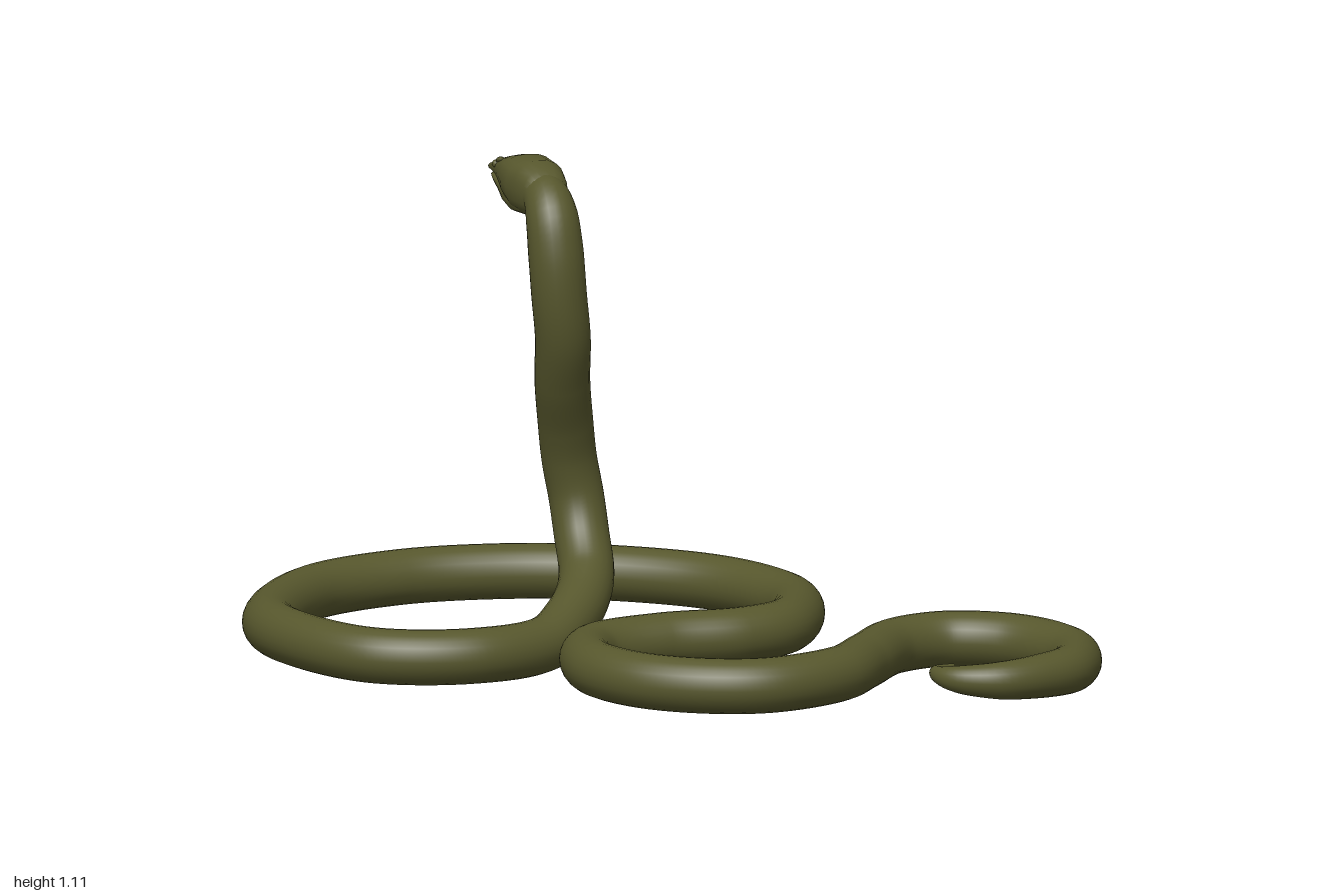
import * as THREE from 'three';
import { mergeVertices } from 'three/addons/utils/BufferGeometryUtils.js';

const GROUND_Y = 0.068;
const BODY_R = 0.063;

// Coils lying on the ground, from tail tip to the base of the neck: [x, z]
const coils = [
  [0.70, -0.085], [0.70, -0.015], [0.74, 0.022], [0.795, 0.03], [0.875, -0.01],
  [0.925, -0.1], [0.94, -0.2], [0.88, -0.31], [0.78, -0.365], [0.66, -0.375],
  [0.53, -0.315], [0.475, -0.19], [0.505, -0.02], [0.53, 0.13], [0.465, 0.31],
  [0.35, 0.395], [0.19, 0.425], [0.03, 0.37], [-0.065, 0.225], [0.0, 0.05],
  [0.12, -0.10], [0.155, -0.23], [0.06, -0.42], [-0.08, -0.505], [-0.27, -0.535],
  [-0.55, -0.465], [-0.73, -0.345], [-0.86, -0.19], [-0.935, 0.05], [-0.84, 0.37],
  [-0.67, 0.49], [-0.45, 0.53], [-0.27, 0.42], [-0.20, 0.22],
];
// Raised S of the neck: [x, y, z]
const neck = [
  [-0.21, 0.10, 0.10], [-0.237, 0.14, 0.0], [-0.268, 0.18, -0.06], [-0.31, 0.25, -0.105],
  [-0.335, 0.33, -0.122], [-0.345, 0.42, -0.108], [-0.335, 0.51, -0.077], [-0.31, 0.62, -0.025],
  [-0.283, 0.73, 0.015], [-0.28, 0.83, 0.035], [-0.287, 0.93, 0.038], [-0.305, 1.0, 0.025],
  [-0.335, 1.035, -0.002], [-0.385, 1.05, -0.042],
];
const tailRadii = [0.005, 0.014, 0.022, 0.032, 0.043, 0.05, 0.055, 0.06, 0.062, BODY_R];
const neckRadii = [BODY_R, 0.06, 0.054, 0.046];

// Tube whose rings are rescaled to taper at the tail and towards the head
function bodyGeometry() {
  const points = [
    ...coils.map(([x, z]) => new THREE.Vector3(x, GROUND_Y, z)),
    ...neck.map((p) => new THREE.Vector3(...p)),
  ];
  const curve = new THREE.CatmullRomCurve3(points, false, 'centripetal');
  curve.arcLengthDivisions = 1500;
  const last = points.length - 1;
  const radiusOf = (i) => {
    if (i < tailRadii.length) return tailRadii[i];
    const k = i - (last - neckRadii.length + 1);
    return k >= 0 ? neckRadii[k] : BODY_R;
  };
  const rings = 480, sides = 24;
  const geo = new THREE.TubeGeometry(curve, rings, BODY_R, sides, false);
  const pos = geo.attributes.position;
  const v = new THREE.Vector3();
  for (let i = 0; i <= rings; i++) {
    const centre = curve.getPointAt(i / rings);
    const f = curve.getUtoTmapping(i / rings) * last;
    const a = Math.min(Math.floor(f), last - 1);
    const scale = THREE.MathUtils.lerp(radiusOf(a), radiusOf(a + 1), f - a) / BODY_R;
    for (let j = 0; j <= sides; j++) {
      const n = i * (sides + 1) + j;
      v.fromBufferAttribute(pos, n).sub(centre).multiplyScalar(scale).add(centre);
      pos.setXYZ(n, v.x, v.y, v.z);
    }
  }
  return geo;
}

// Loft along local +z through boxy oval sections: [z, top, bottom, halfWidth]
function loft(sections, sides = 20) {
  const verts = [], index = [];
  const power = (c) => Math.sign(c) * Math.abs(c) ** 0.8;
  sections.forEach(([z, top, bottom, w], i) => {
    for (let j = 0; j < sides; j++) {
      const a = (j / sides) * Math.PI * 2;
      verts.push(w * power(Math.cos(a)), (top + bottom) / 2 + ((top - bottom) / 2) * power(Math.sin(a)), z);
      if (i === 0) continue;
      const k = (j + 1) % sides, p = (i - 1) * sides, q = i * sides;
      index.push(p + j, p + k, q + j, p + k, q + k, q + j);
    }
  });
  let geo = new THREE.BufferGeometry();
  geo.setAttribute('position', new THREE.Float32BufferAttribute(verts, 3));
  geo.setIndex(index);
  geo = mergeVertices(geo, 1e-5);
  geo.computeVertexNormals();
  return geo;
}

export function createModel() {
  const olive = new THREE.MeshStandardMaterial({ color: 0x57572d });
  olive.name = 'olive scales';
  const model = new THREE.Group();
  model.name = 'snake';
  const add = (parent, name, geo) => {
    const mesh = new THREE.Mesh(geo, olive);
    mesh.name = name;
    parent.add(mesh);
    return mesh;
  };

  add(model, 'body', bodyGeometry());

  // Head points along its local +z, turned to the model's right and back
  const head = new THREE.Group();
  head.name = 'head';
  head.position.set(-0.335, 0, -0.005);
  head.rotation.y = Math.atan2(-0.79, -0.61);
  model.add(head);

  add(head, 'skull', loft([
    [-0.03, 1.04, 1.04, 0], [-0.02, 1.075, 1.0, 0.04], [0.02, 1.1, 0.99, 0.054],
    [0.06, 1.114, 0.986, 0.062], [0.10, 1.112, 0.988, 0.067], [0.14, 1.113, 1.003, 0.066],
    [0.18, 1.104, 1.02, 0.058], [0.23, 1.09, 1.034, 0.047], [0.28, 1.073, 1.04, 0.038],
    [0.315, 1.062, 1.042, 0.032], [0.325, 1.056, 1.044, 0.024], [0.326, 1.05, 1.05, 0],
  ]));
  add(head, 'lowerJaw', loft([
    [0.04, 1.02, 1.02, 0], [0.06, 1.04, 0.988, 0.05], [0.11, 1.045, 0.985, 0.06],
    [0.16, 1.045, 0.993, 0.056], [0.22, 1.042, 1.008, 0.044], [0.28, 1.04, 1.022, 0.034],
    [0.31, 1.039, 1.031, 0.027], [0.314, 1.036, 1.036, 0],
  ]));

  // Eyes and brow ridges, mirrored
  for (const side of [-1, 1]) {
    const eye = add(head, side < 0 ? 'rightEye' : 'leftEye', new THREE.SphereGeometry(0.009, 14, 10));
    eye.position.set(side * 0.042, 1.074, 0.235);
    const brow = add(head, side < 0 ? 'rightBrow' : 'leftBrow', new THREE.SphereGeometry(0.012, 14, 10));
    brow.scale.set(0.8, 0.6, 2);
    brow.position.set(side * 0.036, 1.085, 0.222);
    brow.rotation.set(0.3, -side * 0.2, 0);
  }
  return model;
}
